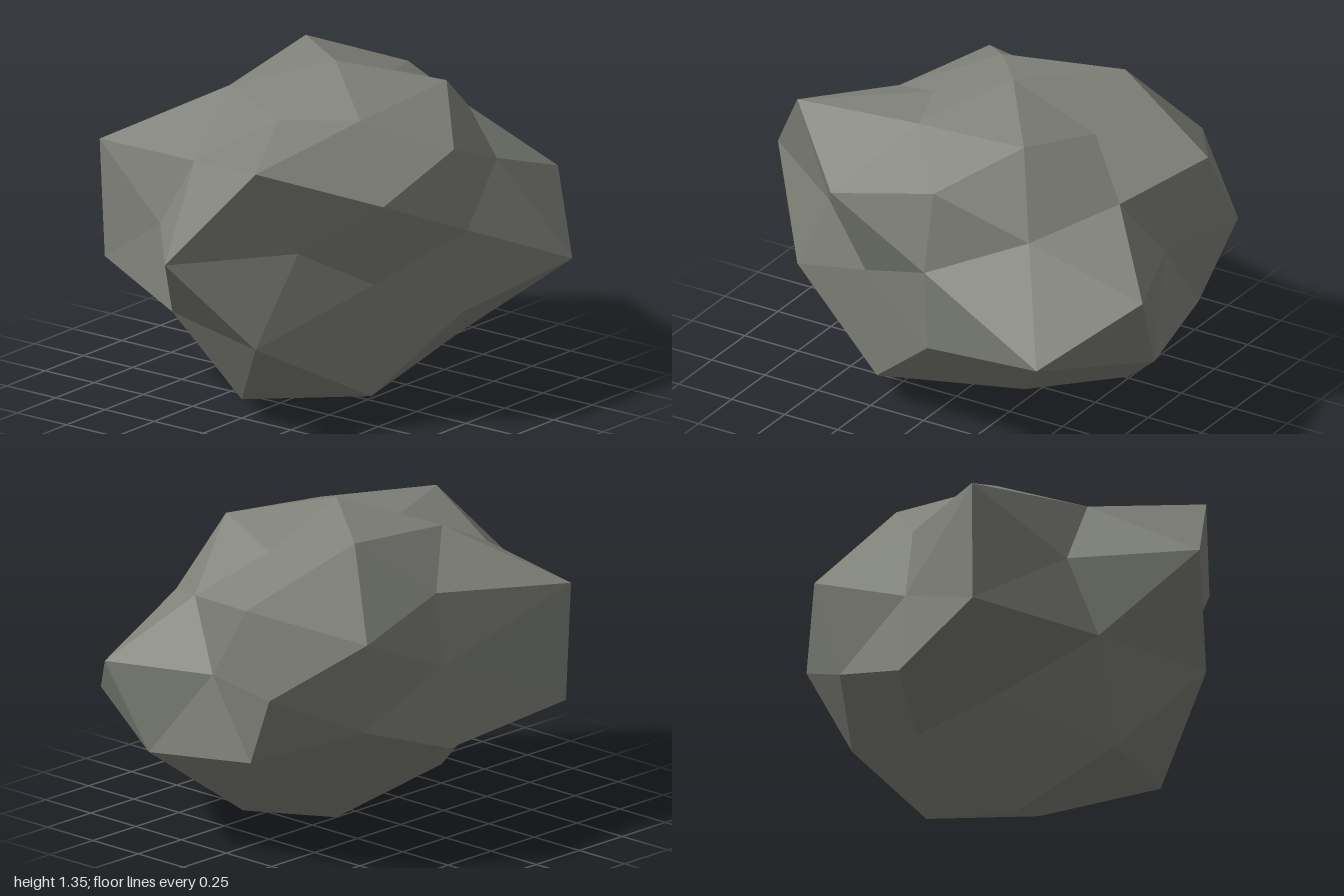
import * as THREE from 'three';

// Bulge of the boulder along each family of directions.
// Radii run through the sign combinations (+ before -, z changing fastest, zero axes skipped).
const BULGES = [
  [[1, 0, 0], [0.72, 1.11]],
  [[0, 1, 0], [0.83, 1.1]],
  [[0, 0, 1], [0.84, 0.74]],
  [[0.526, 0.851, 0], [0.74, 1.03, 0.71, 1.16]],
  [[0, 0.526, 0.851], [0.885, 0.81, 0.95, 0.92]],
  [[0.851, 0, 0.526], [1.042, 0.955, 0.78, 0.82]],
  [[0.809, 0.5, 0.309], [0.77, 0.957, 1.02, 0.91, 1.057, 0.816, 1.057, 0.943]],
  [[0.309, 0.809, 0.5], [0.88, 0.95, 0.99, 0.79, 0.797, 0.84, 1.149, 0.75]],
  [[0.5, 0.309, 0.809], [0.79, 0.99, 1.16, 0.865, 0.95, 1.155, 0.77, 1.13]],
];

// Radius for a unit direction: find its family, then its sign combination
function radiusAt(v) {
  const c = v.toArray();
  const [dir, radii] = BULGES.find(([d]) => d.every((n, i) => Math.abs(Math.abs(c[i]) - n) < 0.02));
  let index = 0;
  dir.forEach((n, i) => {
    if (n) index = index * 2 + (c[i] < 0 ? 1 : 0);
  });
  return radii[index];
}

export function createModel() {
  const group = new THREE.Group();
  group.name = 'rock';

  const stone = new THREE.MeshStandardMaterial({ color: 0x80827a, flatShading: true });
  stone.name = 'grey stone';

  // Faceted sphere, pushed in and out, then flattened
  const geometry = new THREE.IcosahedronGeometry(1, 1);
  const position = geometry.attributes.position;
  const v = new THREE.Vector3();
  for (let i = 0; i < position.count; i++) {
    v.fromBufferAttribute(position, i);
    v.multiplyScalar(radiusAt(v));
    position.setXYZ(i, v.x + 0.11, v.y * 0.7 + 0.77, v.z * 0.8);
  }
  geometry.computeVertexNormals();

  const boulder = new THREE.Mesh(geometry, stone);
  boulder.name = 'boulder';
  group.add(boulder);
  return group;
}
